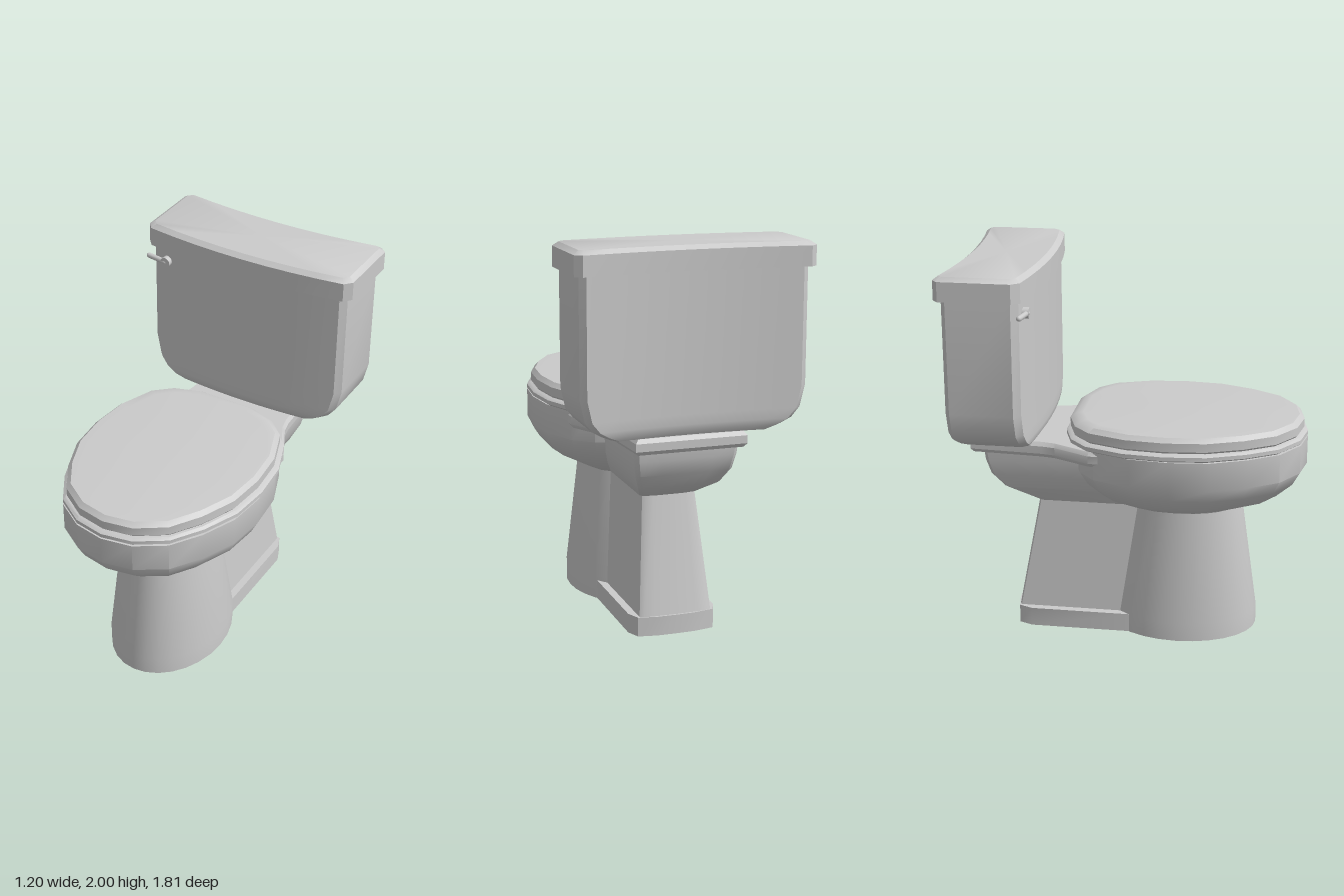
import * as THREE from 'three';
import { toCreasedNormals } from 'three/addons/utils/BufferGeometryUtils.js';

const material = new THREE.MeshStandardMaterial({ color: 0xcccccc, side: THREE.DoubleSide });

// Skin a stack of rings, bottom to top; each ring is { y, pts: [[x, z], ...] }.
function loft(name, rings, { closed = true, top = true, bottom = true } = {}) {
  const n = rings[0].pts.length, pos = [], idx = [];
  for (const { y, pts } of rings) for (const [x, z] of pts) pos.push(x, y, z);
  for (let j = 0; j < rings.length - 1; j++) {
    for (let i = 0; i < (closed ? n : n - 1); i++) {
      const a = j * n + i, b = j * n + (i + 1) % n;
      idx.push(a, a + n, b, b, a + n, b + n);
    }
  }
  const cap = (j, up) => {
    const { y, pts } = rings[j], c = pos.length / 3;
    const zs = pts.map(p => p[1]);
    pos.push(0, y, (Math.min(...zs) + Math.max(...zs)) / 2);
    for (let i = 0; i < n; i++) {
      const a = j * n + i, b = j * n + (i + 1) % n;
      if (up) idx.push(c, b, a); else idx.push(c, a, b);
    }
  };
  if (top) cap(rings.length - 1, true);
  if (bottom) cap(0, false);
  const geo = new THREE.BufferGeometry();
  geo.setAttribute('position', new THREE.Float32BufferAttribute(pos, 3));
  geo.setIndex(idx);
  const mesh = new THREE.Mesh(toCreasedNormals(geo, 0.6), material);
  mesh.name = name;
  return mesh;
}

// Mirror a right-hand half outline (back to front) across x = 0.
const mirror = half => [...half, ...half.filter(p => p[0] > 0).reverse().map(([x, z]) => [-x, z])];

// Egg-shaped plan shared by bowl, seat and lid.
const EGG = mirror([[0.16, -0.34], [0.31, -0.29], [0.41, -0.2], [0.485, 0], [0.505, 0.21],
  [0.485, 0.42], [0.41, 0.61], [0.31, 0.77], [0.16, 0.87], [0, 0.9]]);
const egg = (y, hw, zb, zf) => ({
  y, pts: EGG.map(([x, z]) => [x * hw / 0.505, zb + (z + 0.34) / 1.24 * (zf - zb)]),
});

// Ellipse plan for the pedestal.
const ellipse = (y, hw, zb, zf) => ({
  y, pts: Array.from({ length: 28 }, (_, i) => {
    const t = i / 28 * Math.PI * 2;
    return [hw * Math.cos(t), (zf + zb) / 2 + (zf - zb) / 2 * Math.sin(t)];
  }),
});

// Chamfered rectangle whose ends sweep backwards, for the tank and its lid.
function bent(y, hw, zb, zf, c) {
  const pts = [], steps = 8, w = hw - c;
  for (let i = 0; i <= steps; i++) pts.push([-w + 2 * w * i / steps, zb]);
  pts.push([hw, zb + c], [hw, zf - c]);
  for (let i = 0; i <= steps; i++) pts.push([w - 2 * w * i / steps, zf]);
  pts.push([-hw, zf - c], [-hw, zb + c]);
  return { y, pts: pts.map(([x, z]) => [x, z - 0.14 * x * x]) };
}

// Open-fronted U plan given its +x side from the back centre forwards.
const uPlan = (y, half) => ({ y, pts: [...half.slice(1).reverse().map(([x, z]) => [-x, z]), ...half] });

export function createModel() {
  const model = new THREE.Group();
  model.name = 'toilet';

  // Hollow front column
  model.add(loft('pedestal', [
    ellipse(0, 0.305, -0.14, 0.66), ellipse(0.1, 0.305, -0.14, 0.66), ellipse(0.7, 0.235, -0.025, 0.575),
  ], { top: false, bottom: false }));

  // Rear foot with a ledge, rising into a tapered trapway housing
  const foot = [[0, -0.62], [0.1, -0.618], [0.2, -0.6], [0.23, -0.53], [0.23, 0.02]];
  const housing = (hw, zb, zf) => [[0, zb], [hw * 0.6, zb + 0.003], [hw * 0.88, zb + 0.008], [hw, zb + 0.018], [hw, zf]];
  model.add(loft('trapwayHousing', [
    uPlan(0, foot), uPlan(0.1, foot),
    uPlan(0.1, housing(0.19, -0.61, -0.03)), uPlan(0.7, housing(0.14, -0.5, 0.05)),
  ], { closed: false, top: false, bottom: false }));

  // Bowl
  model.add(loft('bowl', [
    egg(0.7, 0.235, -0.025, 0.575), egg(0.785, 0.4, -0.17, 0.78), egg(0.86, 0.47, -0.25, 0.865),
    egg(0.93, 0.505, -0.29, 0.905), egg(1.08, 0.505, -0.29, 0.905),
  ]));

  // Curved bracket under the tank shelf
  const bracket = (y, hw, zb) => ({ y, pts: mirror([[hw * 0.5, zb], [hw * 0.92, zb + 0.01], [hw, zb + 0.03], [hw, 0.1]]) });
  model.add(loft('tankSupport', [
    bracket(0.7, 0.15, -0.5), bracket(0.79, 0.215, -0.67), bracket(0.87, 0.25, -0.735),
    bracket(0.95, 0.265, -0.76), bracket(1.0, 0.27, -0.765),
  ]));

  // Shelf joining bowl and tank
  const shelf = (y, d) => ({
    y, pts: mirror([[0.14, -0.82 + d], [0.285 - d, -0.82 + d], [0.31 - d, -0.44], [0.325 - d, -0.37], [0.42 - d, -0.18], [0.42 - d, 0]]),
  });
  model.add(loft('tankShelf', [shelf(1.0, 0.015), shelf(1.02, 0), shelf(1.06, 0), shelf(1.08, 0.015)]));

  // Seat and lid
  model.add(loft('seat', [
    egg(1.08, 0.495, -0.32, 0.89), egg(1.09, 0.51, -0.335, 0.905),
    egg(1.11, 0.51, -0.335, 0.905), egg(1.12, 0.495, -0.32, 0.89),
  ]));
  model.add(loft('seatLid', [
    egg(1.115, 0.475, -0.3, 0.87), egg(1.13, 0.487, -0.315, 0.885), egg(1.175, 0.487, -0.315, 0.885),
    egg(1.197, 0.465, -0.285, 0.86), egg(1.2, 0.415, -0.25, 0.81),
  ]));

  // Tank with rounded lower corners, and its lid
  model.add(loft('tank', [
    bent(1.085, 0.4, -0.81, -0.47, 0.03), bent(1.11, 0.455, -0.825, -0.452, 0.03),
    bent(1.14, 0.505, -0.832, -0.448, 0.03), bent(1.19, 0.545, -0.832, -0.448, 0.03),
    bent(1.3, 0.57, -0.832, -0.448, 0.03), bent(1.89, 0.57, -0.832, -0.448, 0.03),
  ]));
  model.add(loft('tankLid', [
    bent(1.88, 0.6, -0.86, -0.428, 0.035), bent(1.98, 0.6, -0.86, -0.428, 0.035),
    bent(2.0, 0.572, -0.835, -0.455, 0.025),
  ]));

  // Flush lever on the tank's right
  const lever = new THREE.Group();
  lever.name = 'flushLever';
  const hub = new THREE.Mesh(new THREE.CylinderGeometry(0.028, 0.028, 0.05, 16), material);
  hub.name = 'leverHub';
  hub.rotation.x = Math.PI / 2;
  hub.position.set(-0.47, 1.81, -0.475);
  const arm = new THREE.Mesh(new THREE.CapsuleGeometry(0.014, 0.11, 4, 10), material);
  arm.name = 'leverArm';
  arm.rotation.set(0, -0.16, Math.PI / 2);
  arm.position.set(-0.53, 1.81, -0.469);
  lever.add(hub, arm);
  model.add(lever);

  return model;
}
